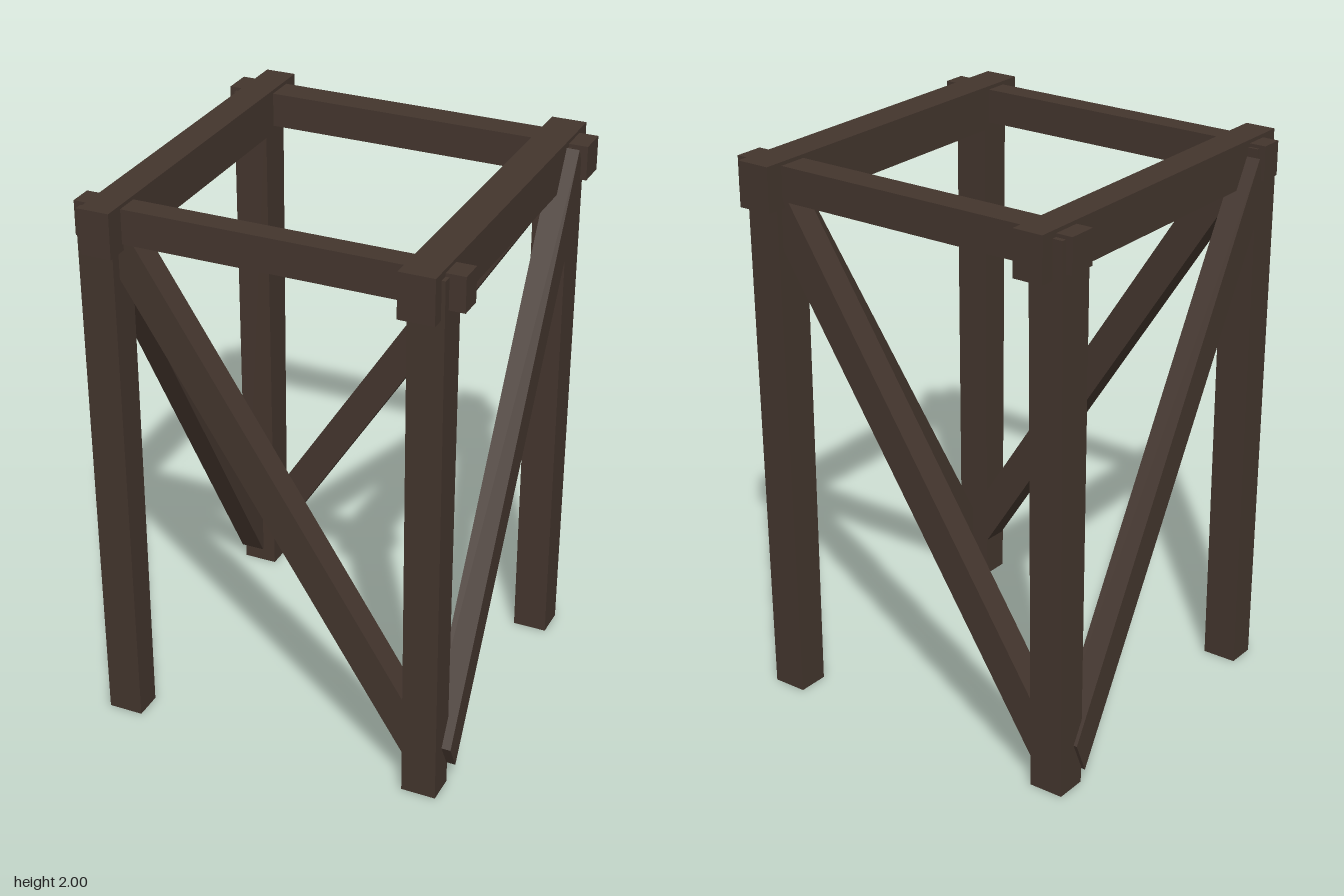
import * as THREE from 'three';

export function createModel() {
  const model = new THREE.Group();
  const darkWood = new THREE.MeshStandardMaterial({ color: 0x43352d });
  darkWood.name = 'darkWood';

  const add = (name, geometry) => {
    const mesh = new THREE.Mesh(geometry, darkWood);
    mesh.name = name;
    model.add(mesh);
  };

  // Straight beam given by its limits on each axis
  const beam = (name, [x0, x1], [y0, y1], [z0, z1]) => {
    const g = new THREE.BoxGeometry(x1 - x0, y1 - y0, z1 - z0);
    g.translate((x0 + x1) / 2, (y0 + y1) / 2, (z0 + z1) / 2);
    add(name, g);
  };

  // Post whose depth differs between foot and top
  const leg = (name, [x0, x1], footZ, topZ) => {
    const g = new THREE.BoxGeometry(1, 1, 1);
    const p = g.attributes.position;
    for (let i = 0; i < p.count; i++) {
      const top = p.getY(i) > 0;
      const zs = top ? topZ : footZ;
      p.setXYZ(i, p.getX(i) > 0 ? x1 : x0, top ? 1.975 : 0, p.getZ(i) > 0 ? zs[1] : zs[0]);
    }
    g.computeVertexNormals();
    add(name, g);
  };

  // Diagonal plank: outline of its wide face, extruded to its thickness
  const plank = (outline, thickness) => {
    const shape = new THREE.Shape(outline.map(([a, b]) => new THREE.Vector2(a, b)));
    return new THREE.ExtrudeGeometry(shape, { depth: thickness, bevelEnabled: false });
  };

  // Legs
  for (const [side, xs] of [['Right', [-0.652, -0.526]], ['Left', [0.495, 0.62]]]) {
    leg('front' + side + 'Leg', xs, [0.505, 0.61], [0.505, 0.63]);
    leg('back' + side + 'Leg', xs, [-0.6, -0.485], [-0.623, -0.48]);
  }

  // Top frame
  beam('rightTopBeam', [-0.615, -0.505], [1.84, 2], [-0.675, 0.675]);
  beam('leftTopBeam', [0.482, 0.607], [1.84, 2], [-0.675, 0.675]);
  beam('frontTopBeam', [-0.675, 0.675], [1.865, 1.987], [0.515, 0.6]);
  beam('backTopBeam', [-0.675, 0.675], [1.865, 1.987], [-0.605, -0.498]);

  // Front and back braces, ending inside the legs
  const cross = [[-0.6, 1.85], [0.54, 0.08], [0.6, 0.205], [-0.535, 1.965]];
  const front = plank(cross, 0.094);
  front.rotateY(-0.013);
  front.translate(0, 0, 0.503);
  add('frontBrace', front);
  const back = plank(cross, 0.094);
  back.rotateY(Math.PI);
  back.translate(0, 0.005, -0.503);
  add('backBrace', back);

  // Side braces, standing proud of the legs (outlines run along -z, then y)
  const left = plank([[-0.51, 0.085], [0.53, 1.87], [0.477, 1.98], [-0.56, 0.18]], 0.09);
  left.rotateY(Math.PI / 2);
  left.translate(0.563, 0, 0);
  add('leftBrace', left);
  const right = plank([[0.48, 0.05], [0.53, 0.165], [-0.5, 1.945], [-0.545, 1.81]], 0.09);
  right.rotateY(Math.PI / 2);
  right.translate(-0.665, 0, 0);
  add('rightBrace', right);

  return model;
}
